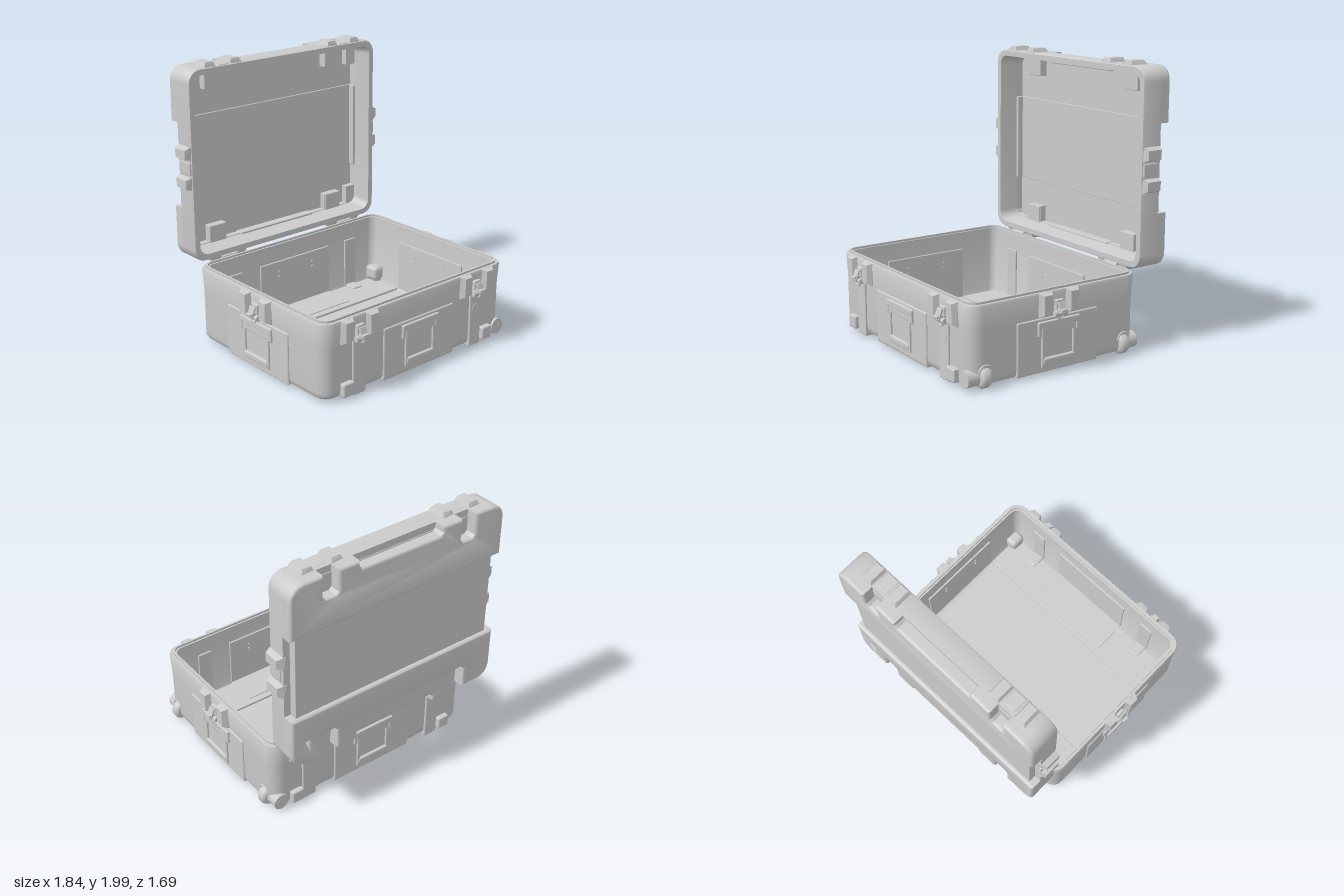
import * as THREE from 'three';
import { toCreasedNormals } from 'three/addons/utils/BufferGeometryUtils.js';
import { RoundedBoxGeometry } from 'three/addons/geometries/RoundedBoxGeometry.js';

const grey = new THREE.MeshStandardMaterial({ color: 0xcccccc });
const vecs = list => list.map(v => new THREE.Vector2(...v));

function add(parent, name, geo, x = 0, y = 0, z = 0) {
  const m = new THREE.Mesh(geo, grey);
  m.name = name;
  m.position.set(x, y, z);
  parent.add(m);
  return m;
}

// Rounded block given by its limits on each axis
function block(parent, name, [x0, x1], [y0, y1], [z0, z1], r = 0.008) {
  const g = new RoundedBoxGeometry(x1 - x0, y1 - y0, z1 - z0, 2, r);
  return add(parent, name, g, (x0 + x1) / 2, (y0 + y1) / 2, (z0 + z1) / 2);
}

function rod(parent, name, r, len, axis, x, y, z) {
  const g = new THREE.CylinderGeometry(r, r, len, 20);
  if (axis === 'x') g.rotateZ(Math.PI / 2);
  if (axis === 'z') g.rotateX(Math.PI / 2);
  return add(parent, name, g, x, y, z);
}

// Skin over stacked rounded rectangles [halfX, halfZ, cornerRadius, y], capped at both ends if wanted
function loft(rings, capped) {
  const pos = [], idx = [], steps = 8, n = 4 * (steps + 1);
  for (const [hx, hz, r, y] of rings) {
    for (let c = 0; c < 4; c++) {
      const sx = c === 0 || c === 3 ? 1 : -1, sz = c < 2 ? -1 : 1;
      for (let s = 0; s <= steps; s++) {
        const a = (c + s / steps) * Math.PI / 2;
        pos.push(sx * (hx - r) + r * Math.cos(a), y, sz * (hz - r) - r * Math.sin(a));
      }
    }
  }
  for (let k = 0; k < rings.length - 1; k++) {
    for (let i = 0; i < n; i++) {
      const a = k * n + i, b = k * n + (i + 1) % n;
      idx.push(a, b, b + n, a, b + n, a + n);
    }
  }
  if (capped) {
    const last = (rings.length - 1) * n, c0 = pos.length / 3;
    pos.push(0, rings[0][3], 0, 0, rings[rings.length - 1][3], 0);
    for (let i = 0; i < n; i++) {
      const j = (i + 1) % n;
      idx.push(c0, j, i, c0 + 1, last + i, last + j);
    }
  }
  const g = new THREE.BufferGeometry();
  g.setAttribute('position', new THREE.Float32BufferAttribute(pos, 3));
  g.setIndex(idx);
  return toCreasedNormals(g, 0.6);
}

// Group on wall k (0 front, 1 left, 2 back, 3 right): x along the wall, z outward
function wall(parent, k, u = 0) {
  const g = new THREE.Group(), a = k * Math.PI / 2, d = k % 2 ? 0.85 : 0.69;
  g.name = 'wallFittings';
  g.rotation.y = a;
  g.position.set(Math.sin(a) * d + Math.cos(a) * u, 0, Math.cos(a) * d - Math.sin(a) * u);
  parent.add(g);
  return g;
}

// Two guards running down from height top, sloped on the outside and at both ends
function guards(parent, top, len, out) {
  for (const s of [-1, 1]) {
    const shape = new THREE.Shape(vecs([[0.06, -0.02], [0.158, -0.02], [0.158, 0], [0.14, out], [0.075, out], [0.06, 0]]
      .map(([x, z]) => [x * s, -z])));
    const g = new THREE.ExtrudeGeometry(shape, { depth: len, bevelEnabled: false });
    g.rotateX(-Math.PI / 2);
    const p = g.attributes.position;
    for (let i = 0; i < p.count; i++) {
      if (p.getZ(i) > 0.01) p.setY(i, p.getY(i) < len / 2 ? 0.02 : len - 0.012);
    }
    g.computeVertexNormals();
    add(parent, 'latchGuard', g, 0, top - len, 0);
  }
}

function latch(p) {
  block(p, 'latchPlate', [-0.032, 0.032], [0.4, 0.51], [-0.01, 0.022]);
  rod(p, 'latchPivot', 0.02, 0.1, 'x', 0, 0.42, 0.022);
  const lever = block(p, 'latchLever', [-0.028, 0.028], [0.42, 0.5], [0.035, 0.05], 0.005);
  lever.rotation.x = -0.35;
  block(p, 'latchTip', [-0.025, 0.025], [0.435, 0.455], [0.02, 0.072], 0.005);
  add(p, 'latchRing', new THREE.TorusGeometry(0.024, 0.006, 8, 20), 0, 0.405, 0.025);
}

// Carrying handle: frame with grip opening, top ledge and pivots
function handle(p) {
  const s = new THREE.Shape(vecs([[-0.14, 0.07], [0.14, 0.07], [0.14, 0.34], [-0.14, 0.34]]));
  s.holes.push(new THREE.Path(vecs([[-0.115, 0.13], [-0.115, 0.29], [0.115, 0.29], [0.115, 0.13]])));
  add(p, 'handleFrame', new THREE.ExtrudeGeometry(s, {
    depth: 0.012, bevelSize: 0.006, bevelThickness: 0.006, bevelOffset: -0.006, bevelSegments: 2
  }), 0, 0, -0.002);
  block(p, 'handleLedge', [-0.17, 0.17], [0.335, 0.38], [-0.02, 0.02]);
  block(p, 'handleGrip', [-0.13, 0.13], [0.085, 0.13], [-0.005, 0.022], 0.012);
  for (const x of [-0.155, 0.155]) block(p, 'handleCheek', [x - 0.015, x + 0.015], [0.28, 0.36], [-0.02, 0.018]);
}

function buildBase() {
  const base = new THREE.Group();
  base.name = 'base';
  base.position.z = 0.08;
  add(base, 'baseShell', loft([
    [0.77, 0.61, 0.05, 0.03], [0.80, 0.64, 0.06, 0.03], [0.825, 0.665, 0.08, 0.036], [0.838, 0.678, 0.09, 0.055], [0.842, 0.682, 0.1, 0.08],
    [0.843, 0.683, 0.1, 0.4], [0.85, 0.69, 0.1, 0.555], [0.844, 0.684, 0.095, 0.57], [0.826, 0.666, 0.08, 0.57], [0.826, 0.666, 0.08, 0.585],
    [0.812, 0.652, 0.07, 0.585], [0.812, 0.652, 0.07, 0.57], [0.8, 0.64, 0.06, 0.57],
    [0.795, 0.635, 0.06, 0.08], [0.785, 0.625, 0.06, 0.052], [0.765, 0.605, 0.05, 0.043], [0.74, 0.58, 0.04, 0.043]], true));
  block(base, 'bottomBand', [-0.77, 0.77], [0.01, 0.042], [-0.33, 0.33], 0.012);
  for (const s of [-1, 1]) block(base, 'floorEnd', [-0.785, 0.785], [0.035, 0.06], s > 0 ? [0.33, 0.625] : [-0.625, -0.33], 0.005);

  for (let k = 0; k < 4; k++) {
    const p = wall(base, k), long = k % 2 === 0;
    block(p, 'handlePanel', [-0.33, 0.33], [0.03, 0.4], [-0.03, 0.003], 0.01);
    if (long) {
      block(p, 'panelTongue', [-0.33, 0.33], [0.02, 0.055], [-0.3, 0], 0.01);
      block(p, 'innerFloorPanel', [-0.33, 0.33], [0.045, 0.067], [-0.31, -0.06], 0.004);
    }
    handle(p);
    // Inner backing panel with screws
    block(p, 'innerPanel', [-0.33, 0.33], [0.06, 0.44], [-0.064, -0.045], 0.003);
    for (const x of [-0.16, 0.16]) for (const y of [0.32, 0.36]) rod(p, 'handleScrew', 0.011, 0.02, 'z', x, y, -0.06);

    for (const u of long ? [-0.55, 0.55] : [0]) {
      const f = wall(base, k, u);
      guards(f, 0.57, 0.165, long ? 0.035 : 0.04);
      if (k === 2) {
        block(f, 'hingeLeaf', [-0.06, 0.06], [0.42, 0.56], [-0.01, 0.014]);
        rod(f, 'hingePin', 0.014, 0.13, 'x', 0, 0.572, 0.012);
      } else latch(f);
      if (!long) continue;
      block(f, 'footStrip', [-0.055, 0.055], [0.012, 0.42], [-0.03, 0.006], 0.008);
      block(f, 'foot', [-0.055, 0.055], [0.01, 0.05], [-0.16, 0], 0.01);
      block(f, 'innerStrip', [-0.055, 0.055], [0.055, 0.44], [-0.064, -0.045], 0.003);
      block(f, 'innerFoot', [-0.045, 0.045], [0.05, 0.072], [-0.16, -0.05], 0.01);
      block(f, 'cornerBumper', u > 0 ? [0.06, 0.155] : [-0.155, -0.06], [0.035, 0.13], [-0.03, 0.03], 0.012);
      if (k === 0 && u > 0) rod(f, 'pressureValve', 0.035, 0.01, 'z', 0, 0.3, 0.004);
    }
  }

  // Wheels at the two lower corners of the left wall
  for (const s of [1, -1]) {
    const g = new THREE.Group();
    g.name = 'wheelAssembly';
    g.position.set(0.808, 0.085, 0.57 * s);
    base.add(g);
    const prof = [[0, -0.04], [0.045, -0.04], [0.064, -0.034], [0.075, -0.018], [0.075, 0.018], [0.064, 0.034], [0.045, 0.04], [0, 0.04]];
    add(g, 'wheel', new THREE.LatheGeometry(vecs(prof), 36).rotateX(Math.PI / 2));
    rod(g, 'wheelGuard', 0.058, 0.1, 'z', -0.022, 0, 0.078 * s);
    rod(g, 'axleBolt', 0.02, 0.14, 'z', 0, 0, 0.06 * s);
    // Raised arch over the wheel
    const arch = new THREE.TorusGeometry(0.048, 0.008, 8, 20, Math.PI).rotateY(Math.PI / 2);
    add(g, 'wheelArch', arch, 0.034, 0.035, 0);
    block(g, 'innerWheelWell', [-0.1, 0], [-0.01, 0.1], [-0.06, 0.06], 0.03);
  }
  return base;
}

// Outline of one raised lid end, notched for the feet and the handle panel
function lidEndOutline() {
  const w = 0.85, top = 0.695, r = 0.1, half = [[w, 0.31]];
  for (let i = 0; i <= 8; i++) {
    const a = i / 8 * Math.PI / 2;
    half.push([w - r + r * Math.cos(a), top - r + r * Math.sin(a)]);
  }
  half.push([0.605, top], [0.605, 0.54], [0.585, 0.52], [0.51, 0.52], [0.49, 0.54], [0.49, top],
    [0.33, top], [0.33, 0.655], [0.31, 0.635]);
  return [...half, ...half.map(([x, v]) => [-x, v]).reverse()];
}

// Solid outer plate of a lid end, rounded outside and flat inside, with one wheel pocket
function lidEnd(wellSide) {
  const s = new THREE.Shape(vecs(lidEndOutline())), x = 0.765 * wellSide;
  s.holes.push(new THREE.Path(vecs([[x - 0.045, 0.52], [x - 0.045, 0.61], [x + 0.04, 0.61], [x + 0.04, 0.52]])));
  const g = new THREE.ExtrudeGeometry(s, {
    depth: 0.015, bevelSize: 0.02, bevelThickness: 0.02, bevelOffset: -0.02, bevelSegments: 4
  });
  const p = g.attributes.position;
  for (let i = 0; i < p.count; i++) p.setZ(i, Math.max(0, p.getZ(i)));
  return toCreasedNormals(g.rotateX(Math.PI / 2), 0.6);
}

// Lid wall below the rim: notches outside become raised pockets inside
function lidWall() {
  const end = lidEndOutline(), flip = ([x, v]) => [-x, -v];
  const side = [[-0.8, 0.31], [-0.8, -0.31]];
  const s = new THREE.Shape(vecs([...end, ...side, ...end.map(flip), ...side.map(flip)]));
  const pocket = [[0.62, 0.625], [0.62, 0.505], [0.475, 0.505], [0.475, 0.625], [0.345, 0.625], [0.34, 0.618]];
  const inner = [[0.785, 0.49], [0.7, 0.49], [0.7, 0.625], ...pocket,
    ...pocket.map(([x, v]) => [-x, v]).reverse(), [-0.74, 0.625], [-0.772, 0.612], [-0.785, 0.58]];
  s.holes.push(new THREE.Path(vecs([...inner, ...inner.map(([x, v]) => [x, -v]).reverse()])));
  return new THREE.ExtrudeGeometry(s, { depth: 0.051, bevelEnabled: false }).rotateX(Math.PI / 2);
}

// Lid is built lying on its back with the opening upward, then stood up
function buildLid() {
  const lid = new THREE.Group();
  lid.name = 'lid';
  lid.position.set(0, 1.275, -0.62);
  lid.rotation.x = Math.PI / 2;
  add(lid, 'lidRim', loft([
    [0.785, 0.63, 0.06, -0.146], [0.85, 0.695, 0.1, -0.146], [0.85, 0.695, 0.1, -0.015], [0.842, 0.687, 0.095, 0],
    [0.803, 0.648, 0.07, 0], [0.8, 0.645, 0.065, -0.02], [0.785, 0.63, 0.06, -0.146]], false));
  add(lid, 'lidWall', lidWall(), 0, -0.146, 0);
  add(lid, 'lidEnd', lidEnd(1), 0, -0.195, 0);
  add(lid, 'lidEnd', lidEnd(-1), 0, -0.195, 0).rotation.y = Math.PI;
  block(lid, 'lidBand', [-0.8, 0.8], [-0.2, -0.184], [-0.32, 0.32], 0.003);
  for (const s of [-1, 1]) {
    block(lid, 'lidInnerRib', s > 0 ? [0.765, 0.795] : [-0.795, -0.765], [-0.19, -0.14], [-0.32, 0.32], 0.006);
  }
  for (let k = 0; k < 4; k++) {
    const long = k % 2 === 0;
    for (const u of long ? [-0.55, 0.55] : [0]) {
      const f = wall(lid, k, u);
      guards(f, -0.005, 0.145, long ? 0.035 : 0.04);
      block(f, 'catchPlate', [-0.045, 0.045], [-0.12, -0.008], [-0.01, 0.008], 0.006);
      if (long) block(f, 'lidFootPocketFloor', [-0.0725, 0.0725], [-0.15, -0.136], [-0.185, -0.045], 0.005);
    }
    if (long) block(wall(lid, k), 'lidPanelPocketFloor', [-0.34, 0.34], [-0.15, -0.13], [-0.073, -0.045], 0.006);
  }
  return lid;
}

export function createModel() {
  const model = new THREE.Group();
  model.name = 'openTransportCase';
  model.add(buildBase(), buildLid());
  return model;
}
